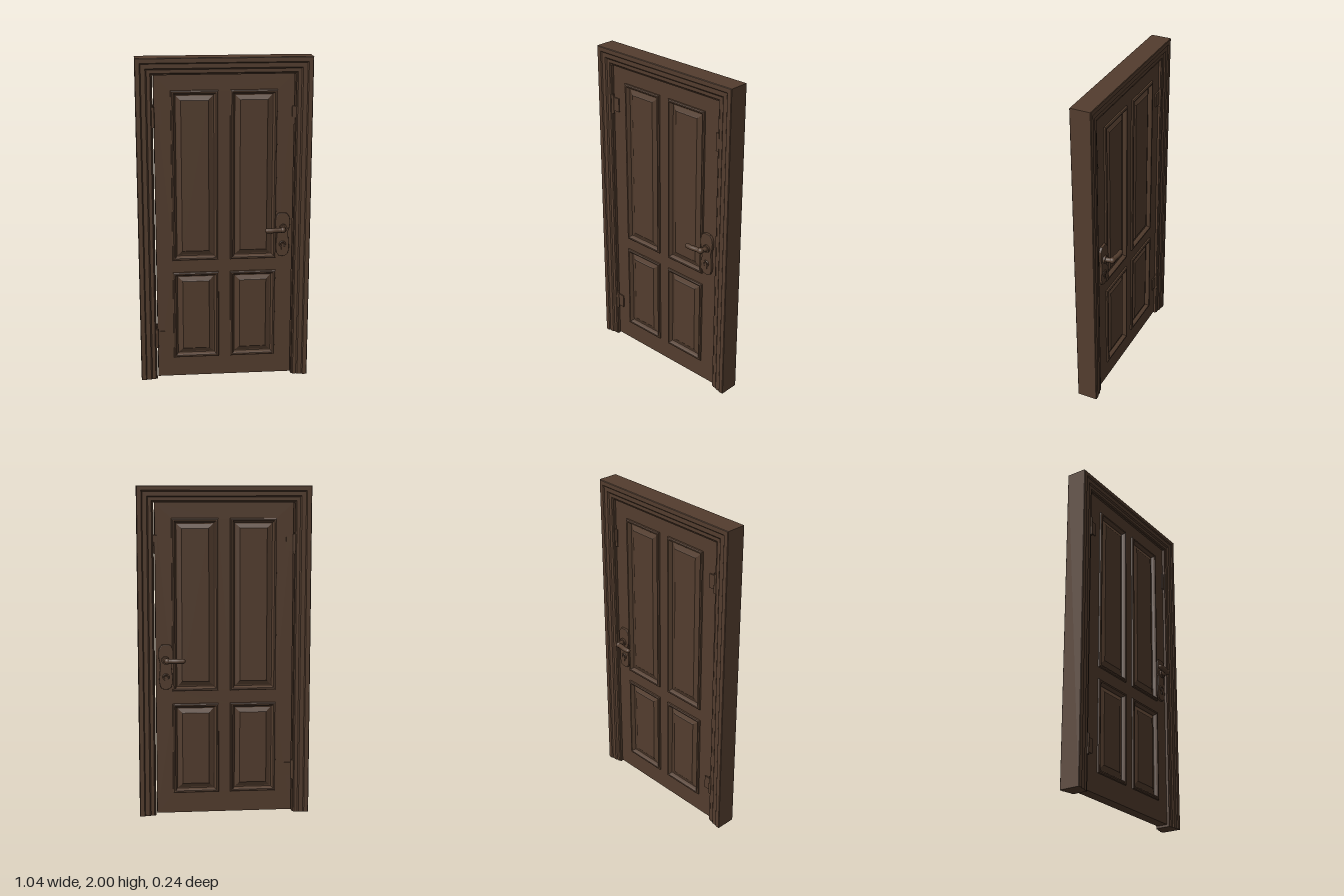
import * as THREE from 'three';

const wood = new THREE.MeshStandardMaterial({ color: 0x533d2e });
wood.name = 'dark brown wood';

const LEAF = 0.034; // half thickness of the door leaf

// Flat-shaded geometry from a list of quads (counter-clockwise corners)
function fromQuads(quads) {
  const pos = [];
  for (const [a, b, c, d] of quads) pos.push(...a, ...b, ...c, ...a, ...c, ...d);
  const g = new THREE.BufferGeometry();
  g.setAttribute('position', new THREE.Float32BufferAttribute(pos, 3));
  g.computeVertexNormals();
  return g;
}

// Sweep a profile of [inset, z] along a mitred path; pathAt(inset) gives its [x, y] corners
function sweep(profile, pathAt, closed) {
  const rows = profile.map(([d, z]) => pathAt(d).map(([x, y]) => [x, y, z]));
  const quads = [];
  for (let j = 0; j < rows.length - 1; j++) {
    const n = rows[j].length;
    for (let i = 0; i < (closed ? n : n - 1); i++) {
      const k = (i + 1) % n;
      quads.push([rows[j][i], rows[j][k], rows[j + 1][k], rows[j + 1][i]]);
    }
  }
  return { quads, rows };
}

function add(parent, name, geometry, x = 0, y = 0, z = 0) {
  const m = new THREE.Mesh(geometry, wood);
  m.name = name;
  m.position.set(x, y, z);
  parent.add(m);
  return m;
}

// Moulded jambs and head, same profile on both faces
function frameGeometry() {
  const half = [[0, 0.06], [0.003, 0.063], [0.028, 0.063], [0.034, 0.057], [0.06, 0.057],
    [0.068, 0.05], [0.088, 0.05], [0.094, 0.045], [0.1, 0.045]];
  const back = half.map(([d, z]) => [d, -z]).reverse();
  const profile = [[0, -0.06], ...half, ...back];
  const pathAt = d => [[0.52 - d, 0], [0.52 - d, 2 - d], [-0.52 + d, 2 - d], [-0.52 + d, 0]];
  const { quads } = sweep(profile, pathAt, false);
  // Feet of the jambs
  for (let k = 0; k < half.length - 1; k++) {
    const [d0, z0] = half[k], [d1, z1] = half[k + 1];
    for (const s of [1, -1]) {
      const q = [[s * (0.52 - d0), 0, z0], [s * (0.52 - d1), 0, z1],
        [s * (0.52 - d1), 0, -z1], [s * (0.52 - d0), 0, -z0]];
      quads.push(s > 0 ? q : q.reverse());
    }
  }
  return fromQuads(quads);
}

// Raised moulding, sunken groove and bevelled field of one panel
function panelGeometry(w, h) {
  const profile = [[0, -0.004], [0.002, 0.009], [0.008, 0.013], [0.016, 0.012], [0.022, 0.003],
    [0.028, -0.009], [0.034, -0.009], [0.056, 0.001], [0.06, 0.004]];
  const pathAt = d => {
    const x = w / 2 - d, y = h / 2 - d;
    return [[-x, -y], [x, -y], [x, y], [-x, y]];
  };
  const { quads, rows } = sweep(profile, pathAt, true);
  quads.push(rows[rows.length - 1]);
  return fromQuads(quads);
}

const panels = [];
for (const [y0, y1] of [[0.135, 0.695], [0.77, 1.81]]) {
  for (const s of [-1, 1]) panels.push({ x: s * 0.175, y: (y0 + y1) / 2, w: 0.282, h: y1 - y0 });
}

function rectPoints(x, y, w, h) {
  return [[-1, -1], [1, -1], [1, 1], [-1, 1]]
    .map(([a, b]) => new THREE.Vector2(x + a * w / 2, y + b * h / 2));
}

// Leaf with openings for the panels
function leafGeometry() {
  const shape = new THREE.Shape(rectPoints(0, 0.957, 0.828, 1.89));
  for (const p of panels) {
    shape.holes.push(new THREE.Path(rectPoints(p.x, p.y, p.w - 0.012, p.h - 0.012).reverse()));
  }
  const g = new THREE.ExtrudeGeometry(shape, { depth: 2 * LEAF, bevelEnabled: false });
  return g.translate(0, 0, -LEAF);
}

// Waisted lock plate: wide head, narrower foot
function plateGeometry() {
  const half = [[0.022, 0.131], [0.038, 0.105], [0.04, 0.06], [0.03, 0.015],
    [0.034, -0.04], [0.036, -0.09], [0.022, -0.128]];
  const pts = [...half, ...half.map(([x, y]) => [-x, y]).reverse()]
    .map(([x, y]) => new THREE.Vector2(x, y));
  const shape = new THREE.Shape();
  shape.moveTo(pts[0].x, pts[0].y);
  shape.splineThru([...pts.slice(1), pts[0]]);
  const g = new THREE.ExtrudeGeometry(shape, {
    depth: 0.014, bevelSize: 0.004, bevelThickness: 0.004, bevelSegments: 2, curveSegments: 4
  });
  return g.translate(0, 0, -0.007);
}

// Lever, lock plate and keyhole; s is the side of the door
function addHandle(parent, s) {
  const handle = new THREE.Group();
  handle.name = s > 0 ? 'frontHandle' : 'backHandle';
  parent.add(handle);
  add(handle, 'lockPlate', plateGeometry(), 0.354, 0.922, s * (LEAF + 0.004));

  const pts = [[0.358, 0.03], [0.356, 0.065], [0.345, 0.094], [0.318, 0.099], [0.285, 0.104], [0.254, 0.103]]
    .map(([x, z]) => new THREE.Vector3(x, 0.965, s * z));
  add(handle, 'lever', new THREE.TubeGeometry(new THREE.CatmullRomCurve3(pts), 28, 0.015, 14));
  add(handle, 'leverTip', new THREE.SphereGeometry(0.015, 14, 10), 0.254, 0.965, s * 0.103);
  add(handle, 'leverElbow', new THREE.SphereGeometry(0.019, 14, 10), 0.348, 0.965, s * 0.095);

  const collar = new THREE.CylinderGeometry(0.024, 0.024, 0.03, 20).rotateX(Math.PI / 2);
  add(handle, 'leverCollar', collar, 0.357, 0.965, s * (LEAF + 0.012));
  const ring = new THREE.TorusGeometry(0.016, 0.005, 8, 20);
  add(handle, 'keyholeRing', ring, 0.354, 0.862, s * (LEAF + 0.015));
  add(handle, 'keyCylinder', new THREE.BoxGeometry(0.014, 0.04, 0.024), 0.354, 0.848, s * (LEAF + 0.008));
}

export function createModel() {
  const door = new THREE.Group();
  door.name = 'door';

  add(door, 'frame', frameGeometry());
  add(door, 'leaf', leafGeometry());

  for (const s of [1, -1]) {
    const side = s > 0 ? 'front' : 'back';
    for (const p of panels) {
      const m = add(door, side + 'Panel', panelGeometry(p.w, p.h), p.x, p.y, s * LEAF);
      if (s < 0) m.rotation.y = Math.PI;
    }
    addHandle(door, s);

    // Hinges on one edge, a strike plate on the other
    for (const y of [0.27, 1.655]) {
      add(door, side + 'HingeLeaf', new THREE.BoxGeometry(0.05, 0.085, 0.008), -0.395, y, s * (LEAF + 0.003));
      add(door, side + 'HingePin', new THREE.CylinderGeometry(0.009, 0.009, 0.12, 12), -0.419, y, s * (LEAF + 0.009));
    }
    add(door, side + 'StrikePlate', new THREE.BoxGeometry(0.018, 0.11, 0.008), 0.41, 1.655, s * (LEAF + 0.003));
  }
  return door;
}
